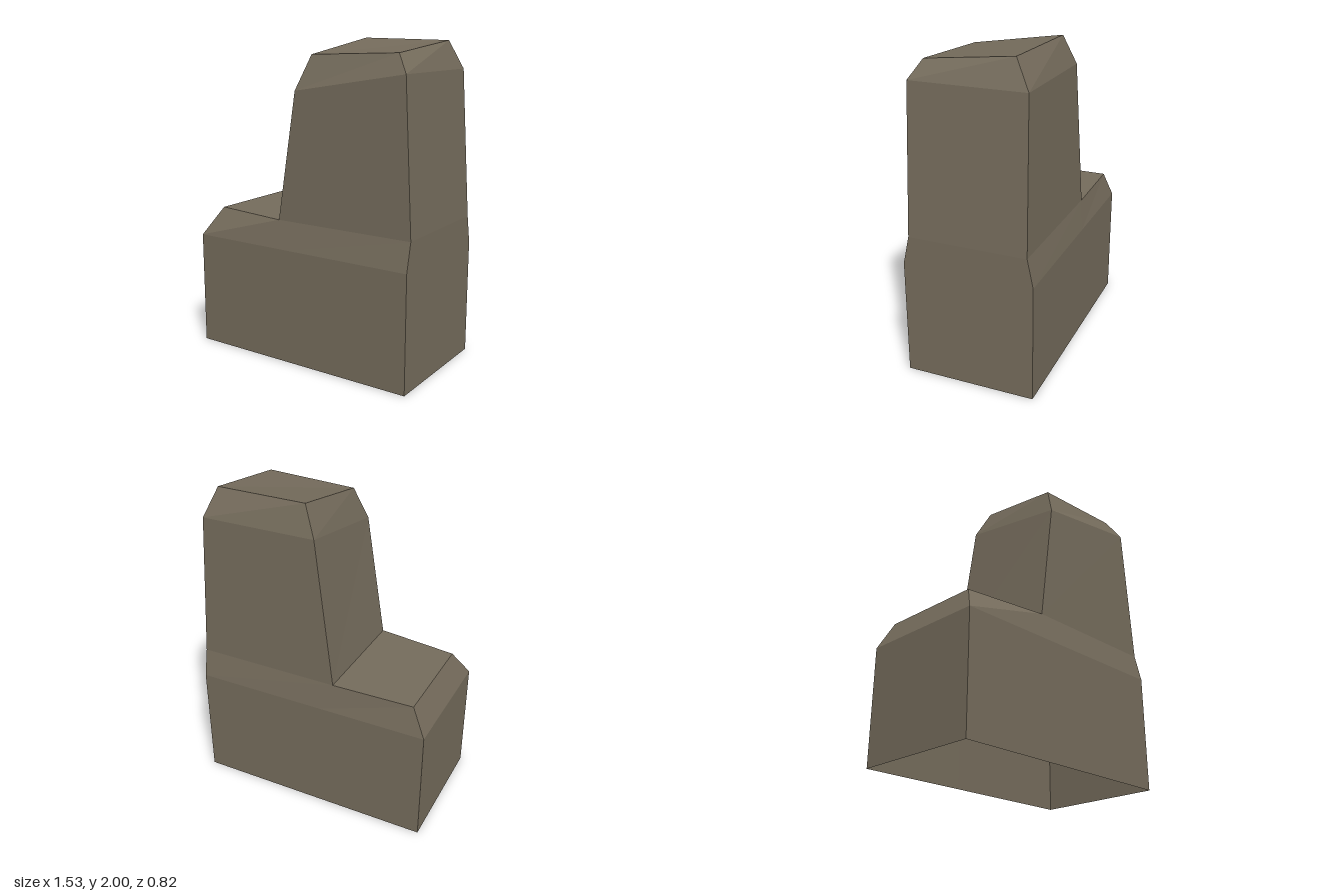
import * as THREE from 'three';

const stone = new THREE.MeshStandardMaterial({ color: 0x746b5b, flatShading: true, side: THREE.DoubleSide });
stone.name = 'drab stone';

// Rings run front left -> front right -> back right -> back left (anticlockwise from above)
const ground = [[-0.765, 0, 0.41], [-0.08, 0, 0.41], [0.765, 0, 0.41],
  [0.765, 0, -0.41], [-0.08, 0, -0.41], [-0.765, 0, -0.41]];
const wallTop = ground.map(([x, , z]) => [x, 0.73, z]);
const shoulderTop = [[-0.675, 0.905, 0.295], [-0.155, 0.905, 0.372], [0.765, 0.905, 0.37],
  [0.765, 0.905, -0.373], [-0.155, 0.905, -0.377], [-0.675, 0.905, -0.367]];
const towerFoot = shoulderTop.slice(1, 5);
const towerTop = [[-0.033, 1.7, 0.36], [0.71, 1.82, 0.36], [0.71, 1.82, -0.357], [-0.033, 1.82, -0.36]];
const roof = [[0.03, 1.91, 0.275], [0.63, 1.93, 0.296], [0.652, 1.99, -0.263], [0.05, 2, -0.3]];

function quadMesh(name, quads) {
  const pos = quads.flatMap(([a, b, c, d]) => [a, b, c, a, c, d].flat());
  const geo = new THREE.BufferGeometry();
  geo.setAttribute('position', new THREE.Float32BufferAttribute(pos, 3));
  geo.computeVertexNormals();
  const mesh = new THREE.Mesh(geo, stone);
  mesh.name = name;
  return mesh;
}

// Wall of quads joining two rings
function band(name, low, high) {
  return quadMesh(name, low.map((p, i) => {
    const j = (i + 1) % low.length;
    return [p, low[j], high[j], high[i]];
  }));
}

export function createModel() {
  const model = new THREE.Group();
  model.name = 'steppedBlock';
  const s = shoulderTop;
  model.add(
    band('baseWalls', ground, wallTop), // open underneath
    band('shoulderBevel', wallTop, shoulderTop),
    quadMesh('lowDeck', [[s[0], s[1], s[4], s[5]]]),
    band('towerWalls', towerFoot, towerTop),
    band('roofBevel', towerTop, roof),
    quadMesh('roofTop', [roof]),
  );
  return model;
}
